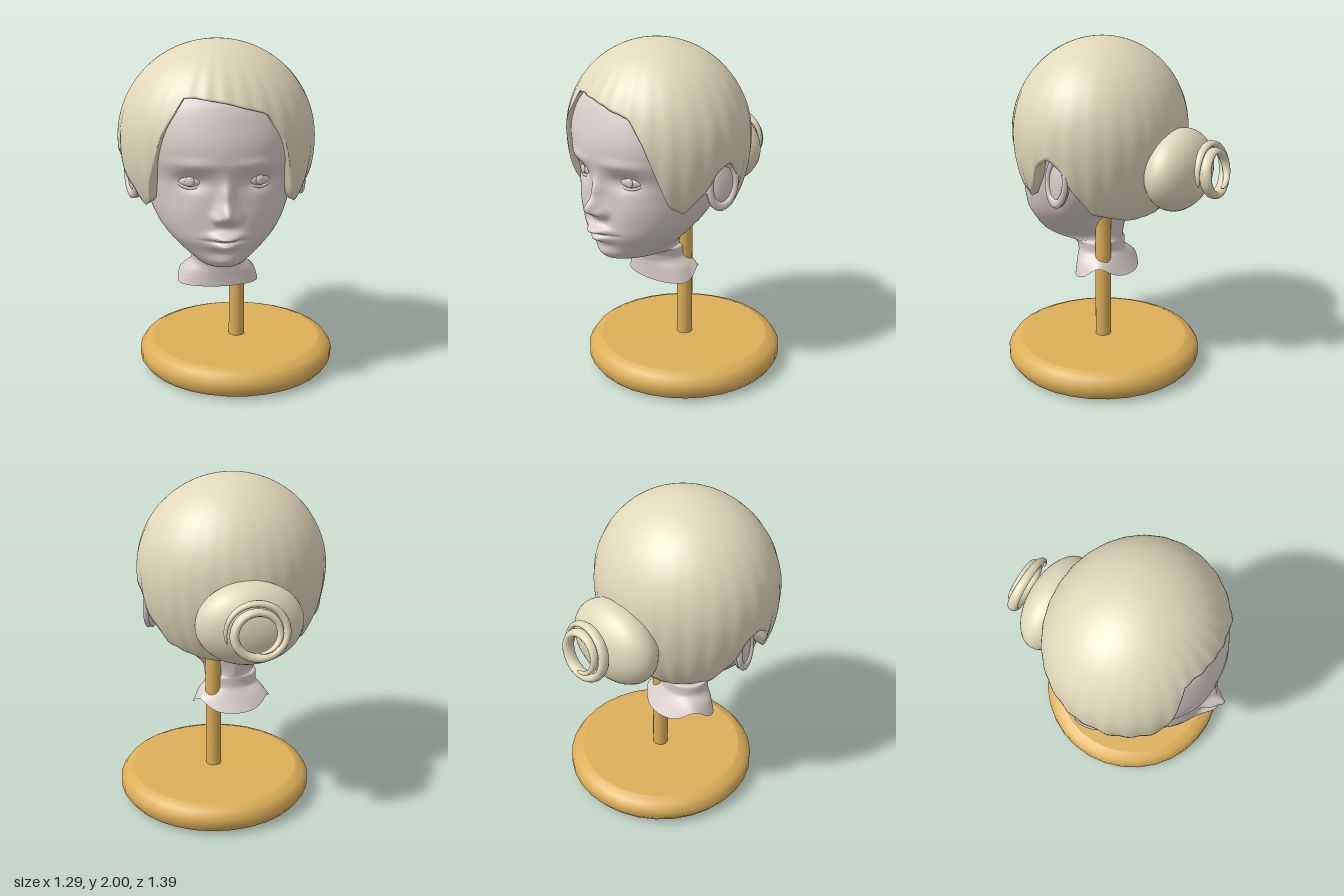
import * as THREE from 'three';

const CX = -0.075; // middle of the head, which sits off the middle of the stand
const material = (color) => new THREE.MeshStandardMaterial({ color, side: THREE.DoubleSide });
const skin = material(0xd8cdca);
const hairMat = material(0xe0d8ba);
const wood = material(0xdcae58);

function add(parent, name, geometry, mat, x = 0, y = 0, z = 0) {
  const mesh = new THREE.Mesh(geometry, mat);
  mesh.name = name;
  mesh.position.set(x, y, z);
  parent.add(mesh);
  return mesh;
}

// Smooth surface made of closed loops; at(u, t) gives a point, t runs -PI..PI
function loops(rows, cols, at) {
  const pos = [], index = [];
  for (let i = 0; i <= rows; i++) {
    for (let j = 0; j < cols; j++) pos.push(...at(i / rows, -Math.PI + (2 * Math.PI * j) / cols));
  }
  for (let i = 0; i < rows; i++) {
    for (let j = 0; j < cols; j++) {
      const k = (j + 1) % cols, a = i * cols, b = a + cols;
      index.push(a + j, b + j, b + k, a + j, b + k, a + k);
    }
  }
  const g = new THREE.BufferGeometry();
  g.setAttribute('position', new THREE.Float32BufferAttribute(pos, 3));
  g.setIndex(index);
  g.computeVertexNormals();
  return g;
}

// Head and neck sections: y, front z, back z, z of widest point, half width, pinch at the back
const SECTIONS = [
  [1.94, 0.29, -0.08, 0.11, 0.2, 1],
  [1.85, 0.42, -0.2, 0.11, 0.36, 1],
  [1.72, 0.525, -0.3, 0.11, 0.46, 1],
  [1.64, 0.57, -0.32, 0.11, 0.49, 1],
  [1.5, 0.61, -0.35, 0.11, 0.5, 1],
  [1.39, 0.615, -0.35, 0.11, 0.48, 1],
  [1.28, 0.595, -0.32, 0.11, 0.445, 1],
  [1.19, 0.585, -0.26, 0.12, 0.425, 1],
  [1.1, 0.585, -0.17, 0.14, 0.4, 1.1],
  [1.01, 0.59, -0.1, 0.18, 0.36, 1.25],
  [0.94, 0.59, -0.06, 0.22, 0.31, 1.4],
  [0.87, 0.56, -0.045, 0.25, 0.245, 1.35],
  [0.81, 0.54, -0.035, 0.25, 0.18, 1.2],
  [0.775, 0.49, -0.03, 0.2, 0.155, 1],
  [0.76, 0.29, -0.03, 0.12, 0.16, 1],
  [0.7, 0.245, -0.03, 0.1, 0.16, 1],
  [0.64, 0.235, -0.055, 0.1, 0.205, 1],
  [0.56, 0.23, -0.115, 0.1, 0.24, 1],
];

function section(u) {
  const n = SECTIONS.length - 1, f = u * n, i = Math.min(Math.floor(f), n - 1), t = f - i;
  const row = (k) => SECTIONS[Math.max(0, Math.min(n, k))];
  return SECTIONS[0].map((_, c) => {
    const [a, b, d, e] = [row(i - 1)[c], row(i)[c], row(i + 1)[c], row(i + 2)[c]];
    const m0 = (d - a) / 2, m1 = (e - b) / 2;
    return b + t * m0 + t * t * (3 * (d - b) - 2 * m0 - m1) + t * t * t * (2 * (b - d) + m0 + m1);
  });
}

// Mirrored swellings and hollows of the face: x, y, x spread, y spread, depth
const FEATURES = [
  [0, 1.11, 0.045, 0.05, 0.1], // nose tip
  [0, 1.2, 0.035, 0.07, 0.045], // nose bridge
  [0.052, 1.085, 0.026, 0.028, 0.04], // nostril wing
  [0, 0.978, 0.075, 0.024, 0.07], // upper lip
  [0, 0.925, 0.06, 0.024, 0.045], // lower lip
  [0, 0.952, 0.1, 0.009, -0.022], // mouth line
  [0, 0.825, 0.09, 0.04, 0.018], // chin
  [0.175, 1.275, 0.09, 0.05, -0.04], // eye socket
  [0.17, 1.375, 0.12, 0.03, 0.012], // brow
  [0.21, 1.1, 0.1, 0.09, 0.012], // cheek
];

function headPoint(u, t) {
  let [y, zf, zb, zm, w, pinch] = section(u);
  const a = t - 0.5 * Math.sin(t); // closer columns on the face
  const s = Math.sin(a), c = Math.cos(a);
  let x = w * s, z;
  if (c > 0) {
    z = zm + (zf - zm) * Math.pow(c, 0.92);
    for (const [fx, fy, sx, sy, d] of FEATURES) {
      z += d * Math.exp(-(((Math.abs(x) - fx) / sx) ** 2) - ((y - fy) / sy) ** 2);
    }
  } else {
    x = w * Math.sign(s) * Math.pow(Math.abs(s), pinch);
    z = zm + (zm - zb) * c;
  }
  // notch cut into the lower edge on both sides of the neck
  if (y < 0.7) y += ((0.7 - y) / 0.14) * 0.07 * Math.exp(-(((z - 0.0) / 0.07) ** 2));
  return [CX + x, y, z];
}

// Hairline: angle from the front in degrees, height of the edge
const SIDE = [[62, 1.1], [74, 1.22], [80, 1.33], [89, 1.385], [96, 1.33], [103, 1.2], [114, 1.05], [145, 0.98], [181, 0.98]];
const LEFT = [[0, 1.7], [27, 1.64], [37, 1.5], [46, 1.28], [52, 1.15], ...SIDE];
const RIGHT = [[0, 1.7], [21, 1.725], [28, 1.72], [38, 1.55], [46, 1.35], [55, 1.14], ...SIDE];

function hairline(t) {
  const table = t >= 0 ? LEFT : RIGHT, d = Math.abs(THREE.MathUtils.radToDeg(t));
  const i = table.findIndex((p, k) => k > 0 && d <= p[0]);
  const [a, b] = [table[i - 1], table[i]];
  return a[1] + ((b[1] - a[1]) * (d - a[0])) / (b[0] - a[0]);
}

function hairPoint(u, t) {
  const yc = 1.45, v = Math.min(u / 0.92, 1), lip = Math.max(0, (u - 0.92) / 0.08);
  const edge = hairline(t) - yc;
  const phi = v * Math.acos(edge / (edge > 0 ? 0.55 : 0.68));
  const y = Math.cos(phi) * (Math.cos(phi) > 0 ? 0.55 : 0.68);
  // soft locks towards the edge, then a lip turned in under the edge
  const k = Math.sin(phi) * (1.008 + 0.008 * v * v * Math.cos(28 * t)) * (1 - 0.16 * lip);
  // direction t is measured in plan, on an ellipse
  const r = 1 / Math.hypot(Math.sin(t) / 0.56, Math.cos(t) / 0.508);
  return [CX - 0.004 + k * r * Math.sin(t), yc + y + 0.03 * lip, 0.11 + k * r * Math.cos(t)];
}

// Tapering coil behind the bun
function coilPoint(u, t) {
  const a = -0.35 + u * 11.4, R = 0.165 - 0.07 * u;
  const thick = 0.1 + 0.9 * Math.pow(Math.sin(Math.PI * Math.min(1, Math.max(0, u))), 0.5);
  const r = R + 0.024 * thick * Math.cos(t);
  return [
    CX + 1.08 * r * Math.cos(a),
    1.293 + r * Math.sin(a),
    -0.615 - 0.055 * u + 0.02 * Math.sin(a) + 0.036 * thick * Math.sin(t),
  ];
}

function addEye(parent, s) {
  const eye = new THREE.Group();
  eye.name = s > 0 ? 'leftEye' : 'rightEye';
  eye.position.set(CX + s * 0.178, 1.275, 0.487);
  eye.rotation.y = s * 0.3;
  add(eye, 'eyeball', new THREE.SphereGeometry(1, 28, 18).scale(0.082, 0.042, 0.05), skin);
  add(eye, 'iris', new THREE.SphereGeometry(1, 18, 12).scale(0.027, 0.027, 0.01), skin, 0, 0.003, 0.047);
  for (const [name, h] of [['upperLid', 0.046], ['lowerLid', -0.036]]) {
    const path = new THREE.CatmullRomCurve3([-1, -0.5, 0, 0.5, 1].map(
      (k) => new THREE.Vector3(k * 0.088, h * (1 - k * k), 0.012 + 0.028 * (1 - k * k))));
    add(eye, name, new THREE.TubeGeometry(path, 20, h > 0 ? 0.011 : 0.008, 8), skin);
  }
  parent.add(eye);
}

function addEar(parent, s) {
  const ear = new THREE.Group();
  ear.name = s > 0 ? 'leftEar' : 'rightEar';
  ear.position.set(CX + s * 0.475, 1.235, 0.098);
  ear.rotation.set(-0.12, -s * 0.35, 0);
  add(ear, 'earBody', new THREE.SphereGeometry(1, 24, 18).scale(0.035, 0.15, 0.09), skin);
  const rim = new THREE.TorusGeometry(0.08, 0.018, 10, 36).rotateY(Math.PI / 2).scale(1, 1.6, 1);
  add(ear, 'earRim', rim, skin, s * 0.022, 0.005, -0.003);
  parent.add(ear);
}

export function createModel() {
  const model = new THREE.Group();
  model.name = 'headOnStand';

  // Stand
  const profile = [[0, 0], [0.51, 0], [0.515, 0], [0.565, 0.02], [0.593, 0.06], [0.593, 0.11],
    [0.565, 0.15], [0.515, 0.17], [0.51, 0.17], [0, 0.17]].map(([x, y]) => new THREE.Vector2(x, y));
  add(model, 'standBase', new THREE.LatheGeometry(profile, 32), wood, 0.045, 0, 0.022);
  add(model, 'standPole', new THREE.CylinderGeometry(0.048, 0.048, 0.78, 16), wood, 0.05, 0.56, 0.022);

  // Head
  const head = new THREE.Group();
  head.name = 'head';
  add(head, 'faceAndNeck', loops(170, 120, headPoint), skin);
  for (const s of [1, -1]) {
    addEye(head, s);
    addEar(head, s);
  }
  model.add(head);

  // Hair
  const hair = new THREE.Group();
  hair.name = 'hair';
  add(hair, 'hairCap', loops(50, 168, hairPoint), hairMat);
  add(hair, 'bun', new THREE.SphereGeometry(1, 36, 24).scale(0.308, 0.24, 0.17), hairMat, CX, 1.27, -0.42);
  add(hair, 'bunCoil', loops(110, 12, coilPoint), hairMat);
  model.add(hair);

  return model;
}
